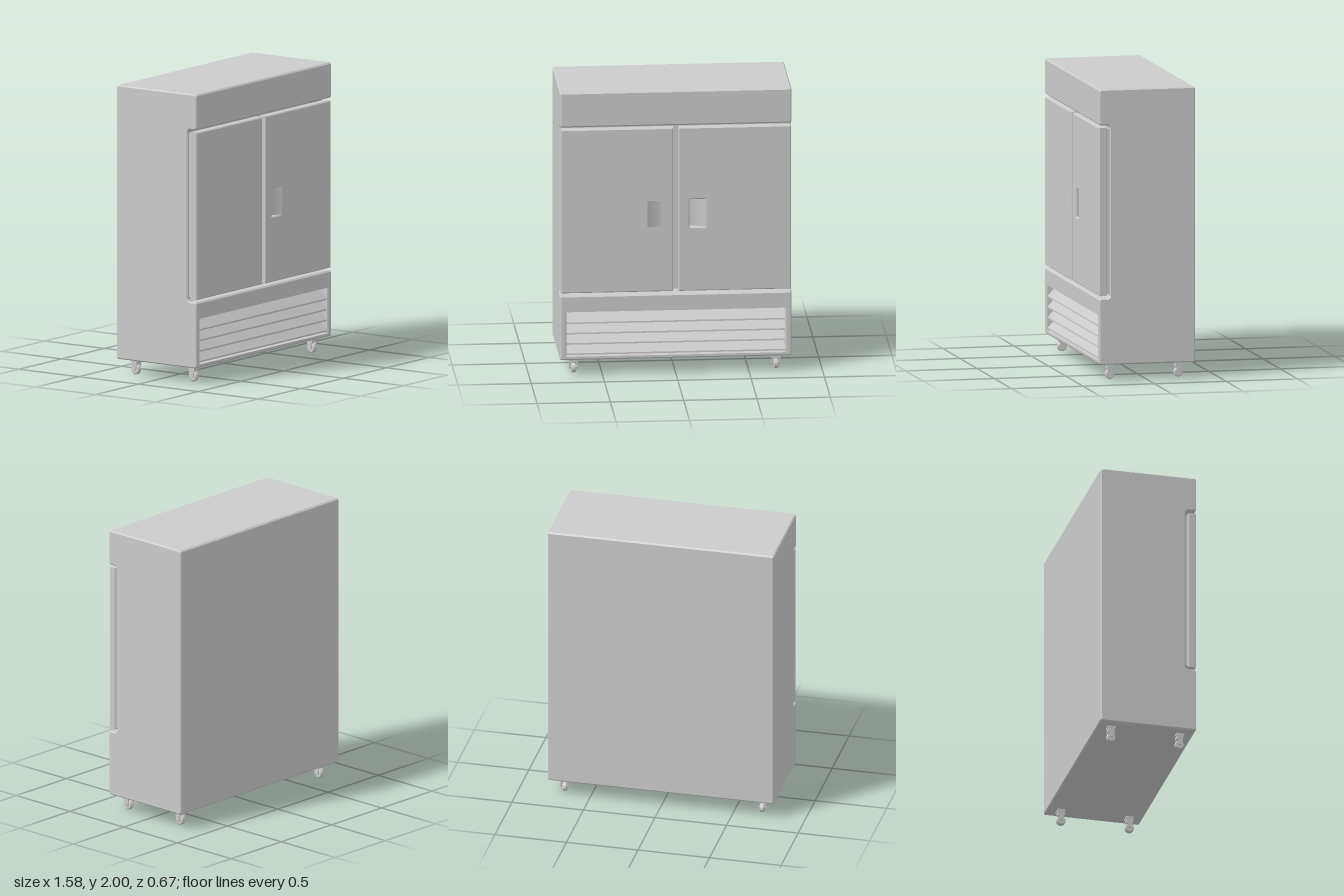
import * as THREE from 'three';
import { toCreasedNormals } from 'three/addons/utils/BufferGeometryUtils.js';

const material = new THREE.MeshStandardMaterial({ color: 0xcccccc });

function addMesh(parent, name, geometry) {
  const mesh = new THREE.Mesh(geometry, material);
  mesh.name = name;
  parent.add(mesh);
  return mesh;
}

const toShape = (points) => new THREE.Shape(points.map(([x, y]) => new THREE.Vector2(x, y)));

// Extrudes a shape from local z = from to z = to; chamfers stay inside the outline
function extrude(shape, from, to, chamfer = 0) {
  const geometry = new THREE.ExtrudeGeometry(shape, {
    depth: to - from - 2 * chamfer,
    bevelEnabled: chamfer > 0,
    bevelThickness: chamfer, bevelSize: chamfer, bevelOffset: -chamfer,
    bevelSegments: 1, curveSegments: 12,
  });
  return geometry.translate(0, 0, from + chamfer);
}

// Extrudes a list of [z, y] points sideways, along x
function extrudeSideways(points, from, to, chamfer) {
  const shape = toShape(points.map(([z, y]) => [-z, y]));
  return extrude(shape, from, to, chamfer).rotateY(Math.PI / 2);
}

const W = 0.79, D = 0.335, BOTTOM = 0.11, TOP = 2, C = 0.01;
const GRILLE_X = 0.745;

// Side outline of the cabinet, with the door recess and, optionally, the louvres
function cabinetOutline(louvres) {
  const points = [
    [-D + C, BOTTOM], [-D, BOTTOM + C], [-D, TOP - C], [-D + C, TOP],
    [D - C, TOP], [D, TOP - C],
    [D, 1.765], [D - C, 1.755], [0.275, 1.755], [0.26, 1.74],
    [0.26, 0.58], [0.275, 0.565], [D - C, 0.565], [D, 0.555],
  ];
  if (louvres) {
    points.push([D, 0.45], [0.27, 0.45]);
    for (let i = 0; i < 4; i++) {
      const y = 0.435 - i * 0.073;
      points.push([0.27, y], [0.325, y - 0.06], [0.325, y - 0.071], [0.27, y - 0.071]);
    }
    points.push([0.27, 0.135], [D, 0.135]);
  }
  points.push([D, BOTTOM + C], [D - C, BOTTOM]);
  return points;
}

function createCabinet() {
  const cabinet = new THREE.Group();
  cabinet.name = 'cabinet';
  addMesh(cabinet, 'louvredBody', extrudeSideways(cabinetOutline(true), -GRILLE_X - 0.008, GRILLE_X + 0.008, 0));
  addMesh(cabinet, 'rightSide', extrudeSideways(cabinetOutline(false), -W, -GRILLE_X, 0.008));
  addMesh(cabinet, 'leftSide', extrudeSideways(cabinetOutline(false), GRILLE_X, W, 0.008));
  return cabinet;
}

function createDoor(side) {
  const door = new THREE.Group();
  door.name = side > 0 ? 'leftDoor' : 'rightDoor';
  const rect = (x0, x1, y0, y1) =>
    [[side * x0, y0], [side * x1, y0], [side * x1, y1], [side * x0, y1]];

  // Panel with an opening for the handle
  const panel = toShape(rect(0.018, 0.785, 0.583, 1.738));
  panel.holes.push(new THREE.Path(toShape(rect(0.094, 0.2, 1.033, 1.23)).getPoints()));
  addMesh(door, 'doorPanel', extrude(panel, 0.277, D, 0.007));
  addMesh(door, 'doorGasket', extrude(toShape(rect(0.03, 0.773, 0.595, 1.726)), 0.258, 0.28));

  // Scooped handle pocket: deepest beside the door's inner edge
  const scoop = new THREE.Shape();
  scoop.moveTo(side * 0.207, -0.278);
  scoop.lineTo(side * 0.207, -0.334);
  scoop.quadraticCurveTo(side * 0.15, -0.298, side * 0.1, -0.29);
  scoop.lineTo(side * 0.09, -0.29);
  scoop.lineTo(side * 0.09, -0.278);
  const scoopGeometry = extrude(scoop, 1.03, 1.233).rotateX(-Math.PI / 2);
  addMesh(door, 'handlePocket', toCreasedNormals(scoopGeometry, 0.5));
  return door;
}

function createCaster() {
  const caster = new THREE.Group();
  caster.name = 'caster';

  const profile = [[0, -0.016], [0.026, -0.016], [0.032, -0.01], [0.032, 0.01], [0.026, 0.016], [0, 0.016]];
  const wheel = new THREE.LatheGeometry(profile.map(([r, y]) => new THREE.Vector2(r, y)), 24);
  wheel.rotateZ(Math.PI / 2).translate(0, 0.032, 0);
  addMesh(caster, 'wheel', toCreasedNormals(wheel, 0.5));

  const axle = new THREE.CylinderGeometry(0.009, 0.009, 0.064, 12);
  addMesh(caster, 'axle', axle.rotateZ(Math.PI / 2).translate(0, 0.036, 0));

  // Tapered fork plates joined by a crown under the mounting plate
  const plate = [[-0.012, 0.028], [0.012, 0.028], [0.016, 0.045], [0.024, 0.1], [-0.024, 0.1], [-0.016, 0.045]];
  for (const x of [-0.025, 0.025]) {
    addMesh(caster, 'forkPlate', extrudeSideways(plate, x - 0.004, x + 0.004, 0));
  }
  addMesh(caster, 'forkCrown', new THREE.BoxGeometry(0.058, 0.028, 0.044).translate(0, 0.086, 0));
  addMesh(caster, 'mountingPlate', new THREE.BoxGeometry(0.06, 0.014, 0.055).translate(0, 0.105, 0));
  return caster;
}

export function createModel() {
  const model = new THREE.Group();
  model.name = 'twoDoorRefrigerator';
  model.add(createCabinet(), createDoor(1), createDoor(-1));
  for (const x of [-0.69, 0.69]) {
    for (const z of [-0.24, 0.24]) {
      const caster = createCaster();
      caster.position.set(x, 0, z);
      model.add(caster);
    }
  }
  return model;
}
